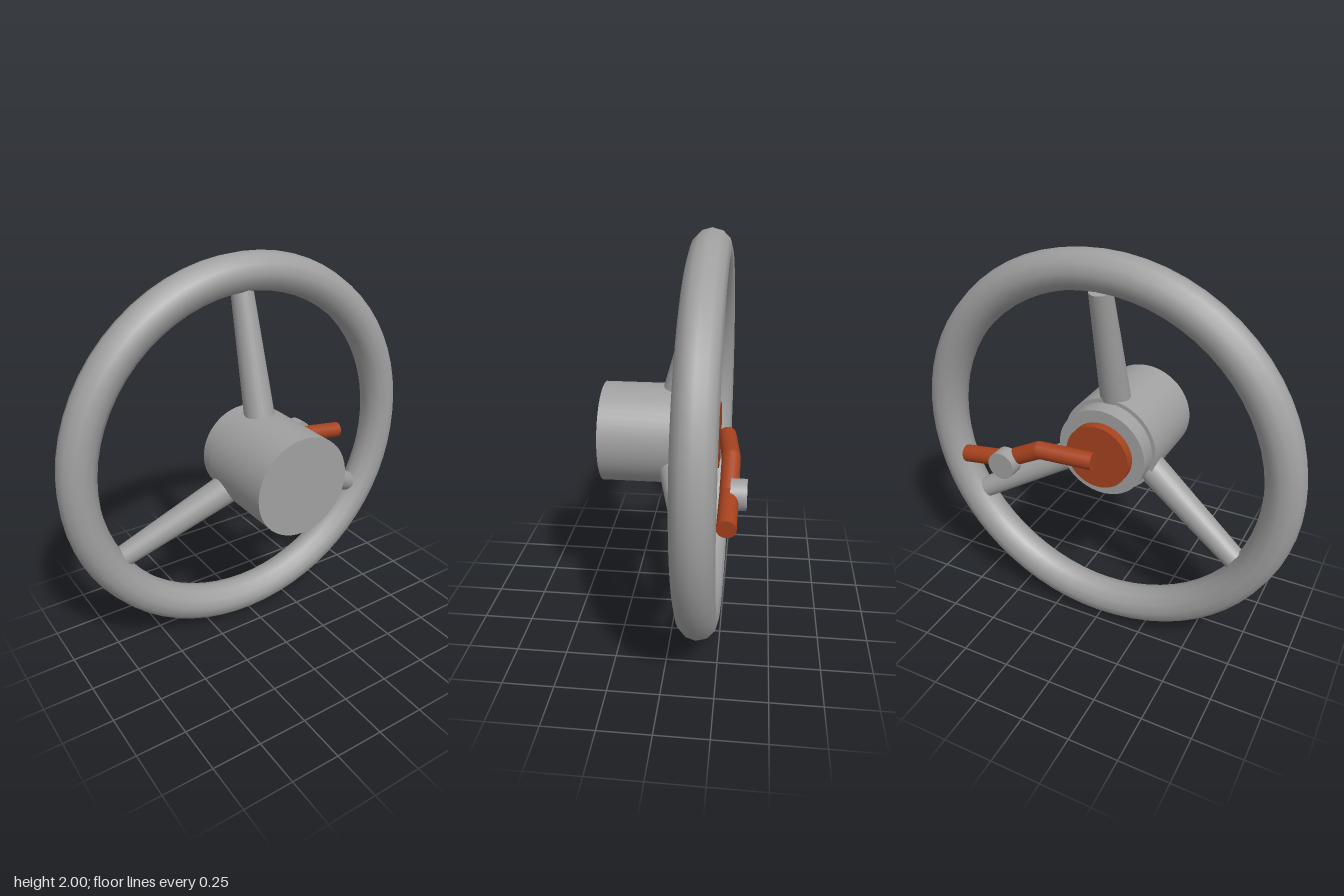
import * as THREE from 'three';

export function createModel() {
  const model = new THREE.Group();
  const grey = new THREE.MeshStandardMaterial({ name: 'grey', color: 0xa0a0a0 });
  const rust = new THREE.MeshStandardMaterial({ name: 'rust', color: 0xa6421e });

  const add = (name, geometry, material, x = 0, y = 0, z = 0) => {
    const mesh = new THREE.Mesh(geometry, material);
    mesh.name = name;
    mesh.position.set(x, y, z);
    model.add(mesh);
    return mesh;
  };

  // Disc or drum lying along z, between two depths
  const drum = (name, radius, zBack, zFront, material, x = 0, y = 1) => {
    const geometry = new THREE.CylinderGeometry(radius, radius, zFront - zBack, 48);
    geometry.rotateX(Math.PI / 2);
    return add(name, geometry, material, x, y, (zBack + zFront) / 2);
  };

  // Tapered rod between two points
  const rod = (name, a, b, rA, rB, material, sides = 24) => {
    const dir = b.clone().sub(a);
    const mesh = add(name, new THREE.CylinderGeometry(rB, rA, dir.length(), sides), material);
    mesh.position.copy(a).add(b).multiplyScalar(0.5);
    mesh.quaternion.setFromUnitVectors(new THREE.Vector3(0, 1, 0), dir.normalize());
    return mesh;
  };

  // Rim
  add('rim', new THREE.TorusGeometry(0.905, 0.095, 12, 64), grey, 0, 1, -0.155);

  // Hub with a stepped back and a coloured centre plate
  drum('hub', 0.25, -0.08, 0.36, grey);
  drum('hubCollar', 0.23, -0.17, -0.08, grey);
  drum('leverPlate', 0.166, -0.217, -0.17, rust);

  // Three spokes sloping back to the rim
  for (const degrees of [90, 210, 330]) {
    const t = THREE.MathUtils.degToRad(degrees);
    const at = (r, z) => new THREE.Vector3(r * Math.cos(t), 1 + r * Math.sin(t), z);
    rod('spoke', at(0.15, 0.01), at(0.82, -0.158), 0.078, 0.055, grey);
  }

  // Bent lever behind the wheel
  const path = [
    [0, 1, -0.255], [0.28, 1.005, -0.284], [0.47, 0.905, -0.284], [0.72, 0.87, -0.284],
  ].map((p) => new THREE.Vector3(...p));
  for (let i = 0; i < path.length - 1; i++) {
    rod('lever', path[i], path[i + 1], 0.044, 0.044, rust, 20);
    if (i > 0) add('leverBend', new THREE.SphereGeometry(0.044, 20, 12), rust, ...path[i].toArray());
  }

  // Button on the lever
  drum('leverButton', 0.072, -0.365, -0.29, grey, 0.46, 0.905);

  return model;
}
